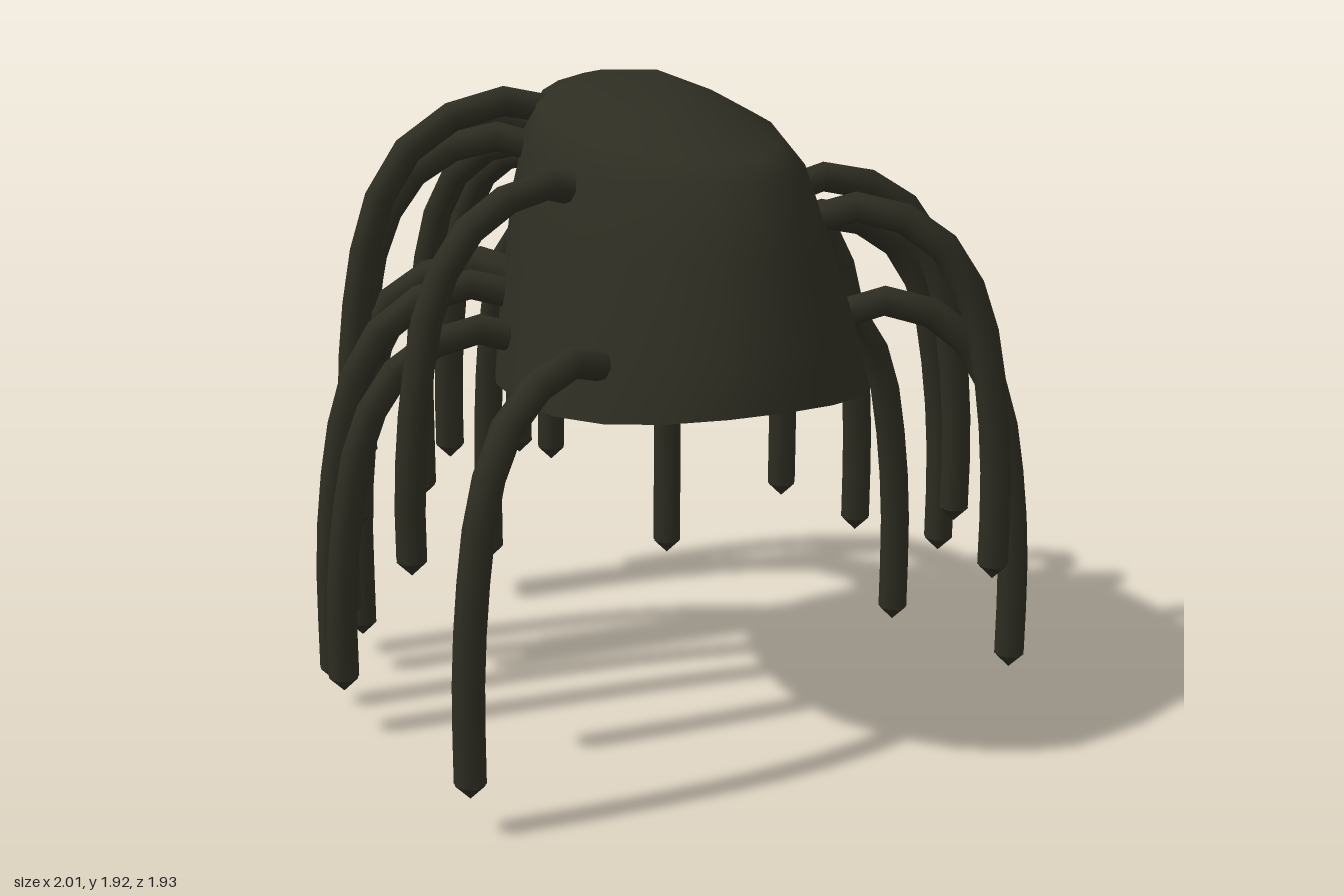
import * as THREE from 'three';

const hide = new THREE.MeshStandardMaterial({ color: 0x2e2d22, side: THREE.DoubleSide });
hide.name = 'dark olive';

// Each ring: front z, front y, back z, back y, half width, height at the sides
const RINGS = [
  [0.965, 1.14, -0.39, 0.91, 0.51, 1.05],
  [0.935, 1.30, -0.435, 1.20, 0.465, 1.25],
  [0.845, 1.53, -0.445, 1.46, 0.41, 1.48],
  [0.76, 1.73, -0.435, 1.75, 0.35, 1.69],
  [0.66, 1.765, -0.39, 1.82, 0.30, 1.785],
  [0.42, 1.845, -0.26, 1.86, 0.20, 1.845],
];
const SIDES = 20;

function ringPoint([zf, yf, zb, yb, w, ym], i) {
  const a = (i / SIDES) * Math.PI * 2, t = Math.cos(a);
  return [
    w * Math.sin(a),
    ym + t * t * ((t > 0 ? yf : yb) - ym),
    (zf + zb) / 2 + t * (zf - zb) / 2,
  ];
}

// Hollow dome, open below, lofted through the rings up to a blunt peak
function shellGeometry() {
  const pos = [], index = [];
  RINGS.forEach((r) => { for (let i = 0; i < SIDES; i++) pos.push(...ringPoint(r, i)); });
  const peak = RINGS.length * SIDES;
  pos.push(0, 1.93, 0.14);
  for (let k = 0; k < RINGS.length; k++) {
    for (let i = 0; i < SIDES; i++) {
      const j = (i + 1) % SIDES, a = k * SIDES + i, b = k * SIDES + j;
      if (k === RINGS.length - 1) index.push(a, b, peak);
      else index.push(a, b, b + SIDES, a, b + SIDES, a + SIDES);
    }
  }
  const g = new THREE.BufferGeometry();
  g.setAttribute('position', new THREE.Float32BufferAttribute(pos, 3));
  g.setIndex(index);
  g.computeVertexNormals();
  return g;
}

// Legs: root x, y, z then tip x, y, z
const LEFT_LEGS = [
  [0.20, 1.34, -0.37, 0.455, 0.09, -0.75],
  [0.31, 1.50, -0.24, 0.74, 0.34, -0.47],
  [0.39, 1.43, -0.07, 0.87, 0.29, -0.20],
  [0.42, 1.16, 0.02, 0.955, 0.005, -0.09],
  [0.43, 1.46, 0.20, 0.935, 0.35, 0.215],
  [0.38, 1.60, 0.30, 0.885, 0.51, 0.385],
  [0.47, 1.27, 0.50, 0.925, 0.13, 0.665],
  [0.35, 1.57, 0.54, 0.805, 0.46, 0.745],
];
const RIGHT_LEGS = [
  [-0.42, 1.25, 0.63, -0.87, 0.11, 0.81],
  [-0.34, 1.66, 0.30, -0.86, 0.60, 0.36],
  [-0.47, 1.20, 0.10, -0.96, 0.14, 0.03],
  [-0.42, 1.29, -0.05, -0.915, 0.08, -0.185],
  [-0.24, 1.79, -0.21, -0.80, 0.52, -0.28],
  [-0.38, 1.32, -0.13, -0.80, 0.18, -0.40],
  [-0.30, 1.29, -0.26, -0.70, 0.06, -0.55],
  [-0.29, 1.69, -0.18, -0.76, 0.61, -0.365],
  [-0.26, 1.74, -0.24, -0.735, 0.68, -0.40],
];
const BACK_LEGS = [
  [-0.10, 1.61, -0.41, -0.39, 0.39, -0.82],
  [-0.08, 1.57, -0.42, -0.28, 0.50, -0.85],
  [-0.05, 1.33, -0.44, -0.14, 0.12, -0.87],
  [-0.01, 1.63, -0.43, -0.01, 0.46, -0.915],
  [0.06, 1.59, -0.42, 0.105, 0.42, -0.915],
];
// Shared arch: share of the outward reach, drop below the root
const ARCH = [[-0.12, 0.03], [0.15, -0.01], [0.45, 0.03], [0.68, 0.12], [0.85, 0.28], [0.95, 0.52], [1, 0.8]];
const RADIUS = 0.045;

function makeLeg([x0, y0, z0, x1, y1, z1], name) {
  const leg = new THREE.Group();
  leg.name = name;
  const points = ARCH.map(([t, drop]) =>
    new THREE.Vector3(x0 + (x1 - x0) * t, y0 - drop, z0 + (z1 - z0) * t));
  points.push(new THREE.Vector3(x1, y1 + 0.045, z1));
  const tube = new THREE.Mesh(
    new THREE.TubeGeometry(new THREE.CatmullRomCurve3(points), 10, RADIUS, 8), hide);
  tube.name = name + 'Shaft';
  // Pointed foot
  const foot = new THREE.Mesh(new THREE.ConeGeometry(RADIUS, 0.045, 8, 1, true), hide);
  foot.name = name + 'Foot';
  foot.rotation.x = Math.PI;
  foot.position.set(x1, y1 + 0.0225, z1);
  // Blunt root sunk into the shell
  const root = new THREE.Mesh(new THREE.SphereGeometry(RADIUS, 8, 5), hide);
  root.name = name + 'Root';
  root.position.copy(points[0]);
  leg.add(tube, foot, root);
  return leg;
}

export function createModel() {
  const model = new THREE.Group();
  model.name = 'leggedDome';
  const shell = new THREE.Mesh(shellGeometry(), hide);
  shell.name = 'shell';
  model.add(shell);
  LEFT_LEGS.forEach((l, i) => model.add(makeLeg(l, 'leftLeg' + (i + 1))));
  RIGHT_LEGS.forEach((l, i) => model.add(makeLeg(l, 'rightLeg' + (i + 1))));
  BACK_LEGS.forEach((l, i) => model.add(makeLeg(l, 'backLeg' + (i + 1))));
  return model;
}
